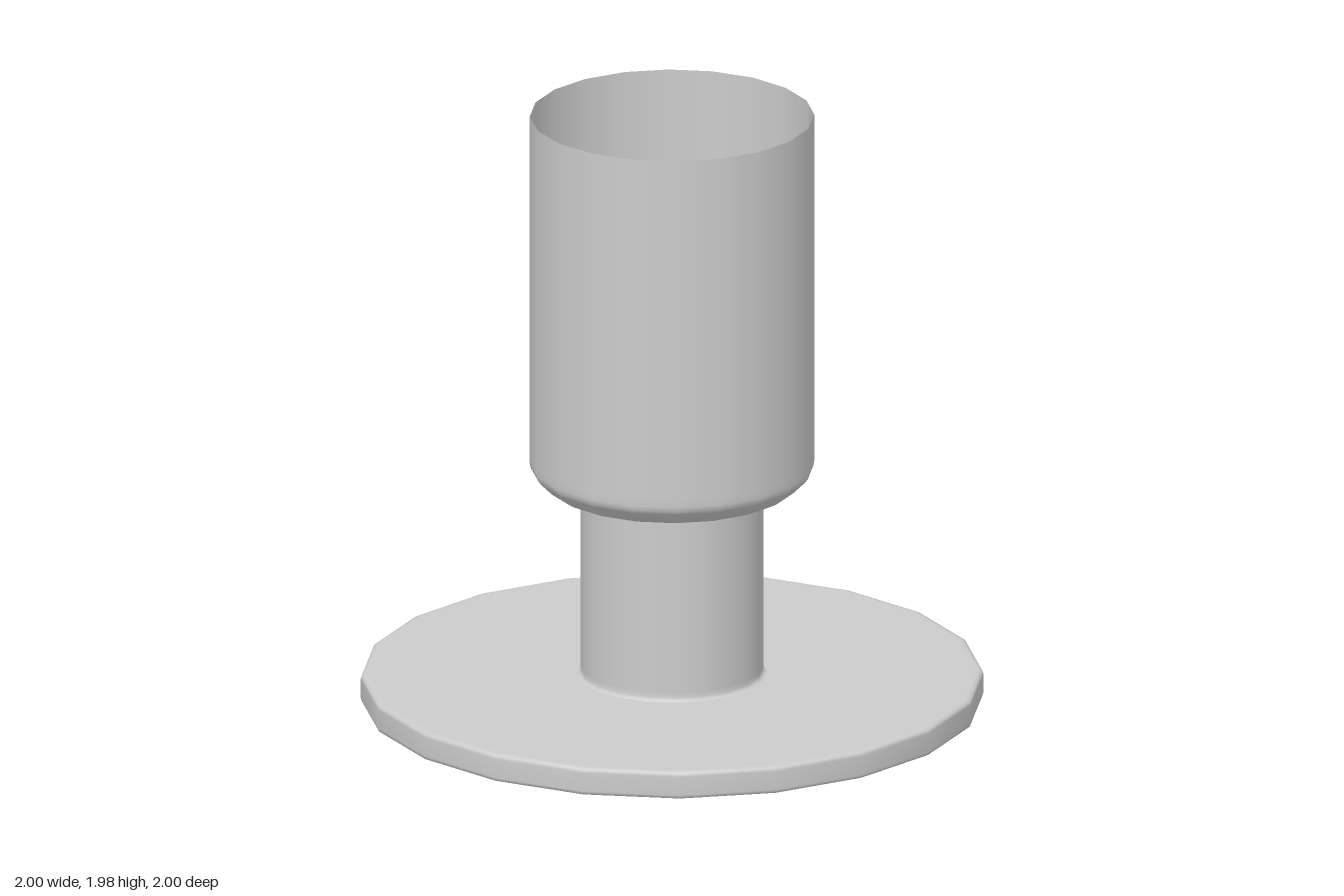
import * as THREE from 'three';

const SIDES = 20;

export function createModel() {
  const group = new THREE.Group();
  const material = new THREE.MeshStandardMaterial({ color: 0xcccccc, side: THREE.DoubleSide });

  // Revolve a bottom-to-top profile into a thin open shell
  const revolve = (name, profile) => {
    const points = profile.map(([r, y]) => new THREE.Vector2(r, y));
    const mesh = new THREE.Mesh(new THREE.LatheGeometry(points, SIDES), material);
    mesh.name = name;
    group.add(mesh);
  };

  // Hollow base: inward lip underneath, softly bevelled rim, flat top plate
  revolve('base', [
    [0.855, 0], [0.985, 0], [0.997, 0.004], [1, 0.015],
    [1, 0.077], [0.997, 0.088], [0.985, 0.092], [0.97, 0.092],
    [0.33, 0.092], [0.307, 0.092],
  ]);

  // Open neck tube with a small fillet at its foot
  revolve('neck', [
    [0.307, 0.092], [0.297, 0.095], [0.293, 0.105], [0.293, 0.12], [0.293, 0.73],
  ]);

  // Thin open cup: flat shoulder, soft chamfer, straight wall
  revolve('cup', [
    [0.293, 0.73], [0.38, 0.73], [0.395, 0.732], [0.407, 0.739],
    [0.445, 0.777], [0.454, 0.789], [0.457, 0.805], [0.457, 0.83], [0.457, 1.98],
  ]);

  return group;
}
